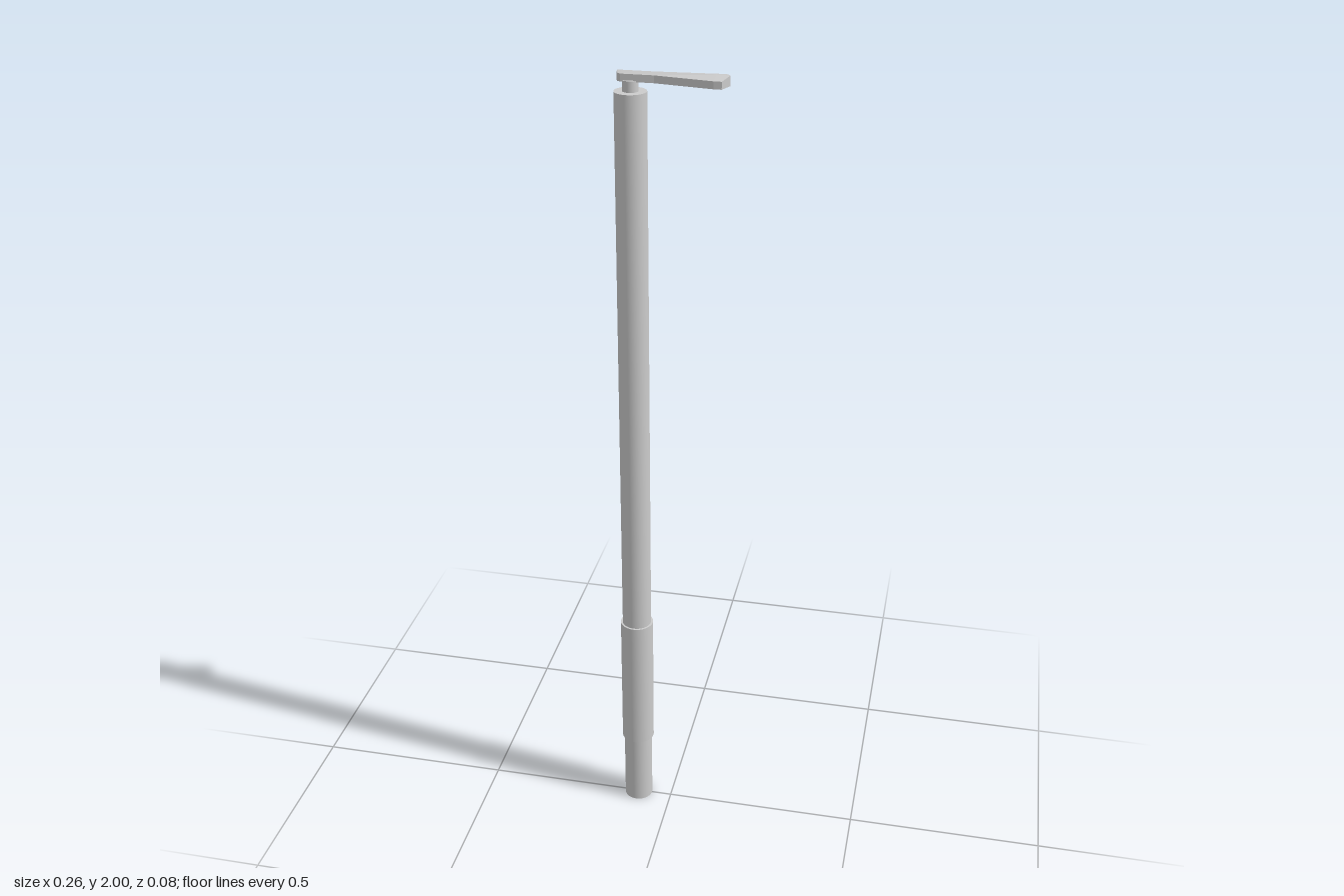
import * as THREE from 'three';

const POLE_X = -0.09;
const material = new THREE.MeshStandardMaterial({ color: 0xcccccc });
const flatMaterial = new THREE.MeshStandardMaterial({ color: 0xcccccc, flatShading: true });

function cylinder(name, radius, y0, y1) {
  const mesh = new THREE.Mesh(new THREE.CylinderGeometry(radius, radius, y1 - y0, 40), material);
  mesh.name = name;
  mesh.position.set(POLE_X, (y0 + y1) / 2, 0);
  return mesh;
}

// Flat-bottomed blade with a shallow ridge, lofted along x
function bladeGeometry() {
  const bottom = 1.977, ridge = 2.0;
  // x, half width, height of the top edge
  const stations = [
    [-0.119, 0.004, 1.997], [-0.116, 0.008, 1.995], [-0.11, 0.01, 1.994],
    [-0.035, 0.01, 1.994], [0.1, 0.033, 1.994], [0.118, 0.033, 1.994], [0.131, 0, 2.0],
  ];
  const rings = stations.map(([x, w, top]) => [
    [x, bottom, -w], [x, bottom, w], [x, top, w], [x, ridge, 0], [x, top, -w],
  ]);
  const points = [];
  const tri = (a, b, c) => points.push(...a, ...b, ...c);
  for (let i = 0; i < rings.length - 1; i++) {
    for (let j = 0; j < 5; j++) {
      const k = (j + 1) % 5;
      const [a, b, c, d] = [rings[i][j], rings[i + 1][j], rings[i + 1][k], rings[i][k]];
      tri(a, b, c);
      tri(a, c, d);
    }
  }
  // Blunt end over the pole
  const end = rings[0];
  for (let j = 1; j < 4; j++) tri(end[0], end[j], end[j + 1]);
  const geometry = new THREE.BufferGeometry();
  geometry.setAttribute('position', new THREE.Float32BufferAttribute(points, 3));
  geometry.computeVertexNormals();
  return geometry;
}

export function createModel() {
  const group = new THREE.Group();
  group.name = 'poleWithBlade';
  group.add(
    cylinder('pole', 0.037, 0, 1.955),
    cylinder('sleeve', 0.042, 0.2, 0.567),
    cylinder('neck', 0.018, 1.955, 1.98),
  );
  const blade = new THREE.Mesh(bladeGeometry(), flatMaterial);
  blade.name = 'blade';
  group.add(blade);
  return group;
}
